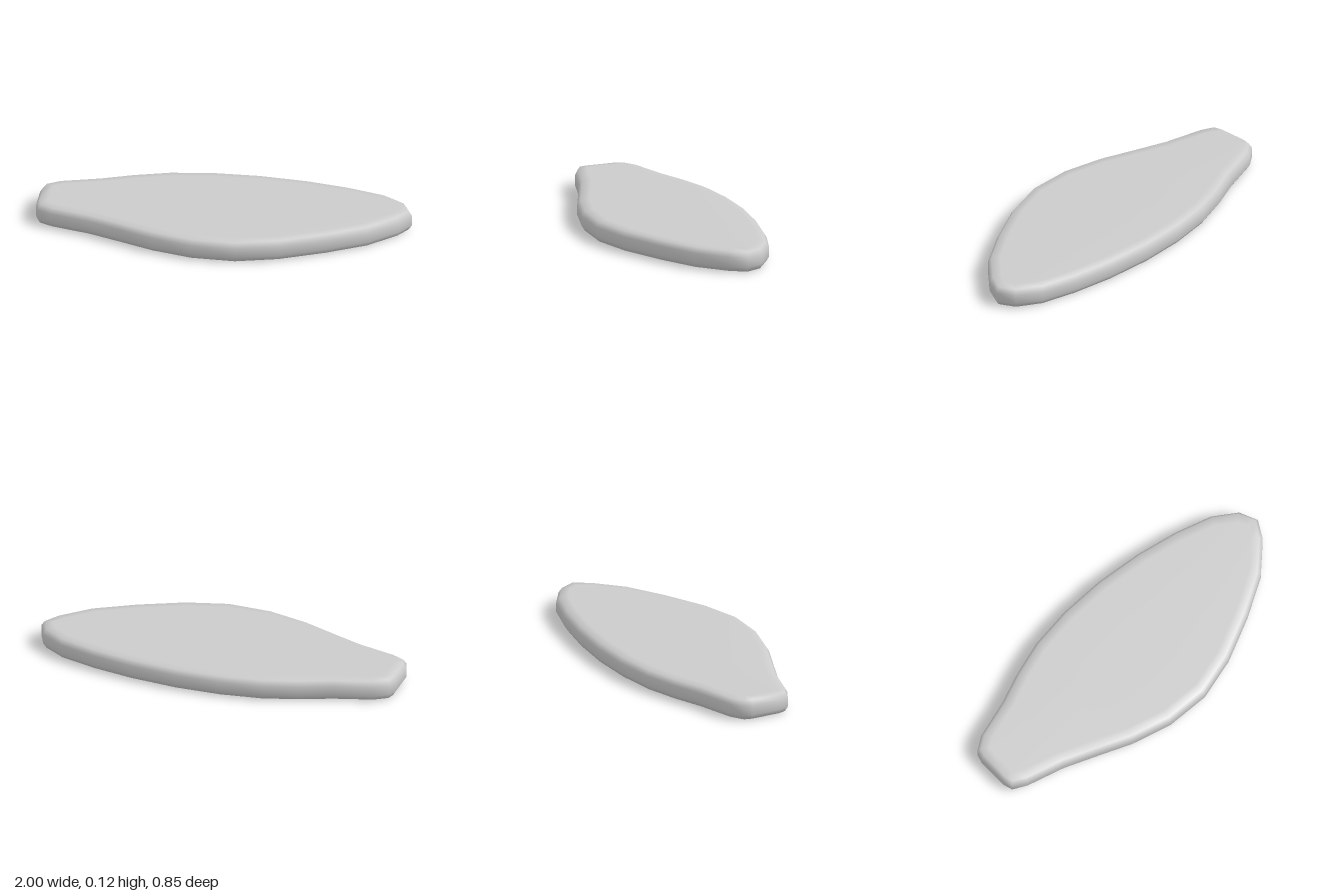
import * as THREE from 'three';

// Plan outline as [x, z], running along the back to the right tip and returning along the front
const outline = [
  [-1, -0.12], [-0.985, -0.17], [-0.91, -0.22], [-0.7, -0.28], [-0.53, -0.345], [-0.34, -0.4],
  [-0.11, -0.428], [0.14, -0.428], [0.4, -0.4], [0.63, -0.353], [0.83, -0.29], [0.955, -0.205],
  [1, -0.105], [0.945, -0.01], [0.8, 0.13], [0.59, 0.25], [0.35, 0.36], [0.12, 0.42],
  [-0.12, 0.41], [-0.34, 0.35], [-0.53, 0.27], [-0.7, 0.2], [-0.91, 0.14], [-0.985, 0.1], [-1, 0.05],
];

// Edge section as [inset, y], from the top face round to the underside
const section = [[0.065, 0.119], [0.018, 0.114], [0, 0.086], [0, 0.034], [0.018, 0.006], [0.065, 0]];

// Outline moved inward by a distance along its averaged edge normals
function insetRing(inset, y) {
  const n = outline.length;
  return outline.map(([x, z], i) => {
    const [px, pz] = outline[(i + n - 1) % n];
    const [qx, qz] = outline[(i + 1) % n];
    const a = new THREE.Vector2(z - pz, px - x).normalize();
    const b = new THREE.Vector2(qz - z, x - qx).normalize();
    const out = a.add(b).normalize();
    return [x - out.x * inset, y, z - out.y * inset];
  });
}

function slabGeometry() {
  const n = outline.length;
  const positions = section.flatMap(([inset, y]) => insetRing(inset, y).flat());
  const top = section.length * n;
  const bottom = top + 1;
  const last = (section.length - 1) * n;
  positions.push(0, section[0][1], 0, 0, section.at(-1)[1], 0);

  const index = [];
  for (let i = 0; i < n; i++) {
    const j = (i + 1) % n;
    // Rounded rim
    for (let r = 0; r < last; r += n) {
      index.push(r + i, r + j, r + n + i, r + j, r + n + j, r + n + i);
    }
    // Flat faces
    index.push(top, j, i, bottom, last + i, last + j);
  }
  const geometry = new THREE.BufferGeometry();
  geometry.setAttribute('position', new THREE.Float32BufferAttribute(positions, 3));
  geometry.setIndex(index);
  geometry.computeVertexNormals();
  return geometry;
}

export function createModel() {
  const group = new THREE.Group();
  const slab = new THREE.Mesh(slabGeometry(), new THREE.MeshStandardMaterial({ color: 0xcccccc }));
  slab.name = 'roundedSlab';
  group.add(slab);
  return group;
}
